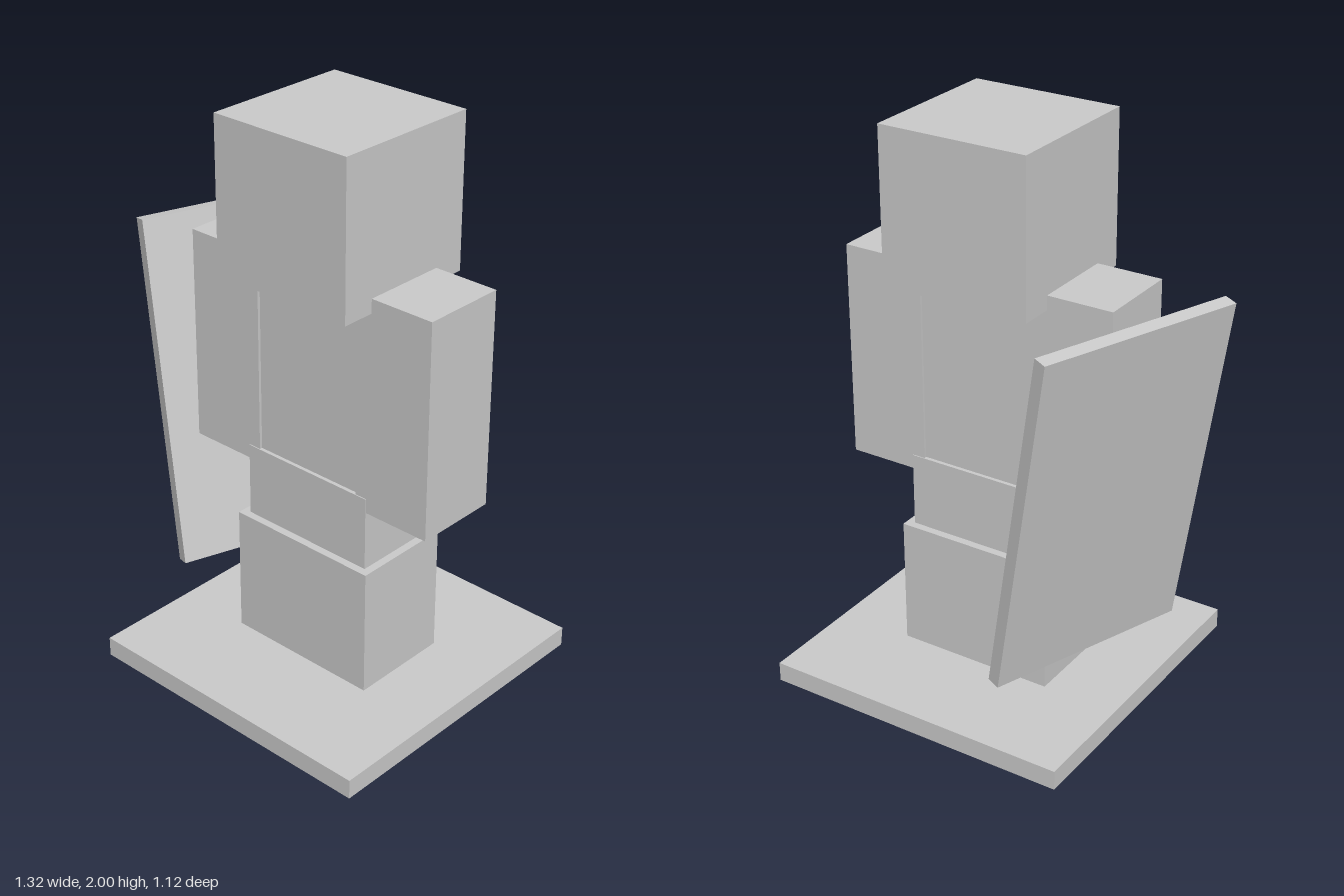
import * as THREE from 'three';

export function createModel() {
  const model = new THREE.Group();
  const grey = new THREE.MeshStandardMaterial({ color: 0xcccccc });
  grey.name = 'plain grey';

  // Box given by its centre x, bottom, top, width and depth
  function block(name, x, bottom, top, width, depth) {
    const mesh = new THREE.Mesh(new THREE.BoxGeometry(width, top - bottom, depth), grey);
    mesh.name = name;
    mesh.position.set(x, (bottom + top) / 2, 0);
    model.add(mesh);
    return mesh;
  }

  // Figure on its stand, offset to leave room for the shield
  const cx = 0.098;
  block('base', cx, 0, 0.071, 1.126, 1.124);
  block('boots', cx, 0.071, 0.532, 0.577, 0.368);
  block('legs', cx, 0.532, 0.797, 0.52, 0.312);
  block('torso', cx, 0.797, 1.46, 0.428, 0.285);
  block('head', cx, 1.46, 2, 0.541, 0.544);

  // Arms
  for (const [name, side] of [['leftArm', 1], ['rightArm', -1]]) {
    block(name, cx + side * 0.3605, 0.745, 1.51, 0.293, 0.305);
  }

  // Shield leaning out beside the right arm
  const shield = block('shield', -0.41, 0, 1.256, 0.049, 0.759);
  shield.position.set(-0.41, 0.872, -0.153);
  shield.rotation.set(0.011, -0.338, 0.176, 'YZX');

  return model;
}
